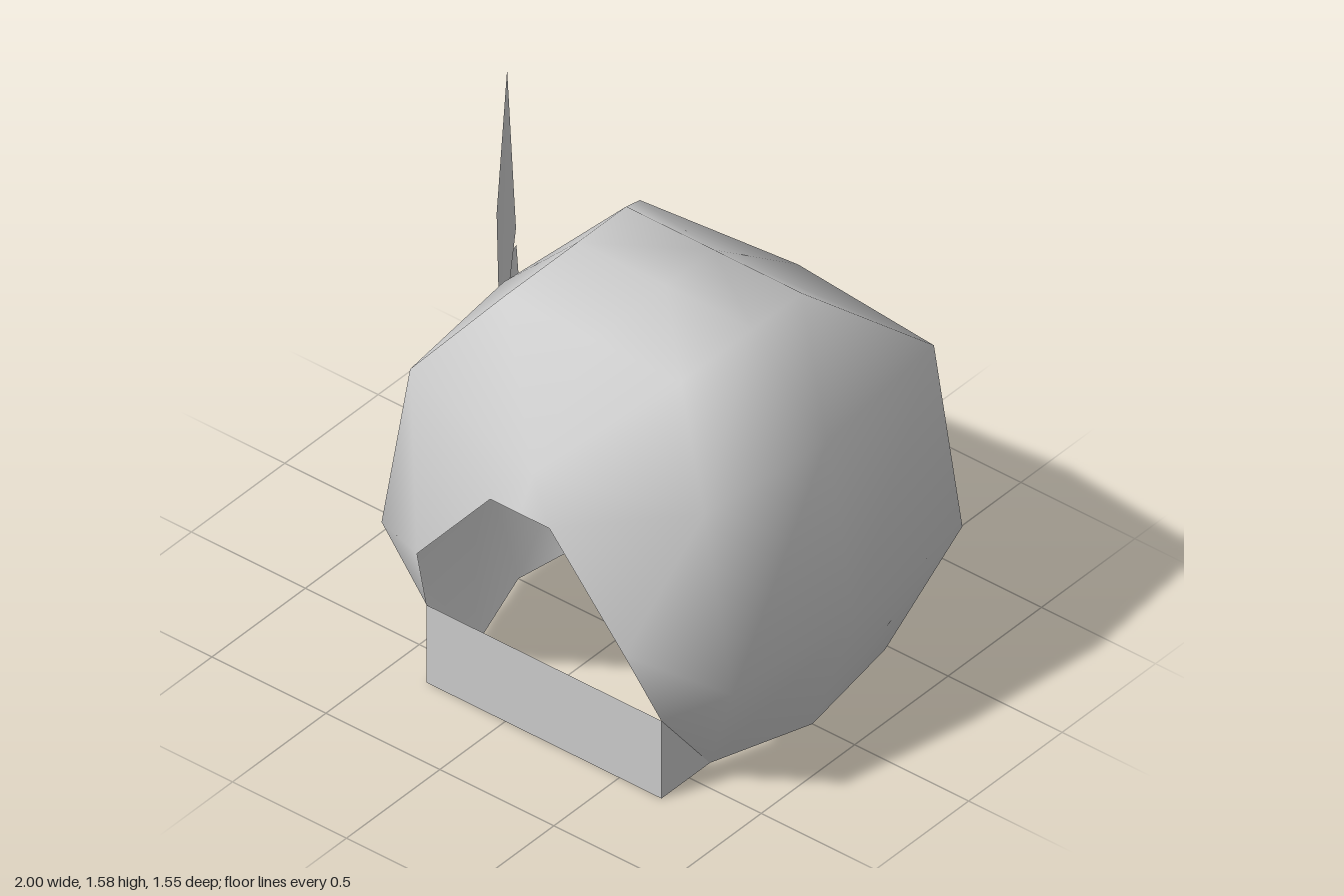
import * as THREE from 'three';

const shellGrey = new THREE.MeshStandardMaterial({ color: 0xcccccc, side: THREE.DoubleSide });
shellGrey.name = 'shellGrey';

// Geometry from corner points and polygons, each triangle turned away from the centre
function polyGeometry(points, faces, centre, smooth) {
  const v = points.map((p) => new THREE.Vector3(...p));
  const c = new THREE.Vector3(...centre);
  const index = [];
  for (const f of faces) {
    for (let i = 1; i < f.length - 1; i++) {
      const [a, b, d] = [f[0], f[i], f[i + 1]];
      const n = v[b].clone().sub(v[a]).cross(v[d].clone().sub(v[a]));
      const out = v[a].clone().add(v[b]).add(v[d]).divideScalar(3).sub(c);
      index.push(...(n.dot(out) >= 0 ? [a, b, d] : [a, d, b]));
    }
  }
  let geo = new THREE.BufferGeometry().setFromPoints(v);
  geo.setIndex(index);
  if (!smooth) geo = geo.toNonIndexed();
  geo.computeVertexNormals();
  return geo;
}

// One half of the open-faced shell
const half = [
  [0, 1.555, -0.26], [0.385, 1.555, -0.26], [0.385, 1.555, 0], [0.385, 1.555, 0.39], [0, 1.555, 0.39], // 0-4 crown
  [0, 1.23, -0.71], [0.645, 1.23, -0.65], [0.71, 1.23, 0], [0.645, 1.23, 0.58], [0, 1.17, 0.71],      // 5-9 brow
  [0, 0.33, -0.775], [0.77, 0.52, -0.65], [0.83, 0.52, 0], [0.77, 0.52, 0.58],                         // 10-13 cheek
  [0, 0, -0.65], [0.57, 0, -0.48], [0.645, 0, 0], [0.515, 0, 0.39],                                    // 14-17 rim
  [0.515, 0.33, 0.65], [0.455, 0.65, 0.775], [0.13, 1.04, 0.78], [0, 1.04, 0.78],                      // 18-21 face opening
  [0, 1.555, 0],                                                                                       // 22 crown middle
];
const halfFaces = [
  [0, 1, 2, 22], [22, 2, 3, 4],
  [0, 5, 6, 1], [1, 6, 7, 2], [2, 7, 8, 3], [3, 8, 9, 4],
  [5, 10, 11, 6], [6, 11, 12, 7], [7, 12, 13, 8],
  [10, 14, 15, 11], [11, 15, 16, 12], [12, 16, 17, 13],
  [9, 8, 20, 21], [8, 13, 19, 20], [13, 18, 19], [13, 17, 18],
];

function shellHalf(side) {
  const geo = polyGeometry(half.map(([x, y, z]) => [x * side, y, z]), halfFaces, [0, 0.75, 0], true);
  // Blend the seam over crown and forehead; the back seam stays sharp
  const n = geo.attributes.normal;
  for (const i of [0, 4, 9, 21, 22]) {
    const v = new THREE.Vector3(0, n.getY(i), n.getZ(i)).normalize();
    n.setXYZ(i, v.x, v.y, v.z);
  }
  return geo;
}

export function createModel() {
  const model = new THREE.Group();
  model.name = 'helmet';
  const add = (name, geo, parent) => {
    const mesh = new THREE.Mesh(geo, shellGrey);
    mesh.name = name;
    parent.add(mesh);
  };

  // The helmet sits off centre because the leaves stick out on one side
  const body = new THREE.Group();
  body.name = 'helmetBody';
  body.position.x = 0.17;
  model.add(body);
  add('shellLeft', shellHalf(1), body);
  add('shellRight', shellHalf(-1), body);

  // Chin guard: front plate, underside and two triangular cheeks, open behind
  const w = 0.515;
  add('chinGuard', polyGeometry(
    [[-w, 0, 0.39], [-w, 0, 0.65], [-w, 0.33, 0.65], [w, 0, 0.39], [w, 0, 0.65], [w, 0.33, 0.65]],
    [[1, 4, 5, 2], [0, 3, 4, 1], [0, 1, 2], [3, 4, 5]],
    [0, 0.11, 0.56], false), body);

  // Two flat leaves sweeping back from the right side
  const base = [-0.555, 0.875, 0];
  const leaf = (a, tip, b) => polyGeometry([base, a, tip, b], [[0, 1, 2, 3]], [0, 0.9, -0.8], false);
  add('upperLeaf', leaf([-0.71, 1.34, -0.17], [-1, 1.575, -0.58], [-0.83, 1.075, -0.42]), model);
  add('lowerLeaf', leaf([-0.81, 0.98, -0.31], [-1, 0.8, -0.63], [-0.725, 0.7, -0.33]), model);

  return model;
}
